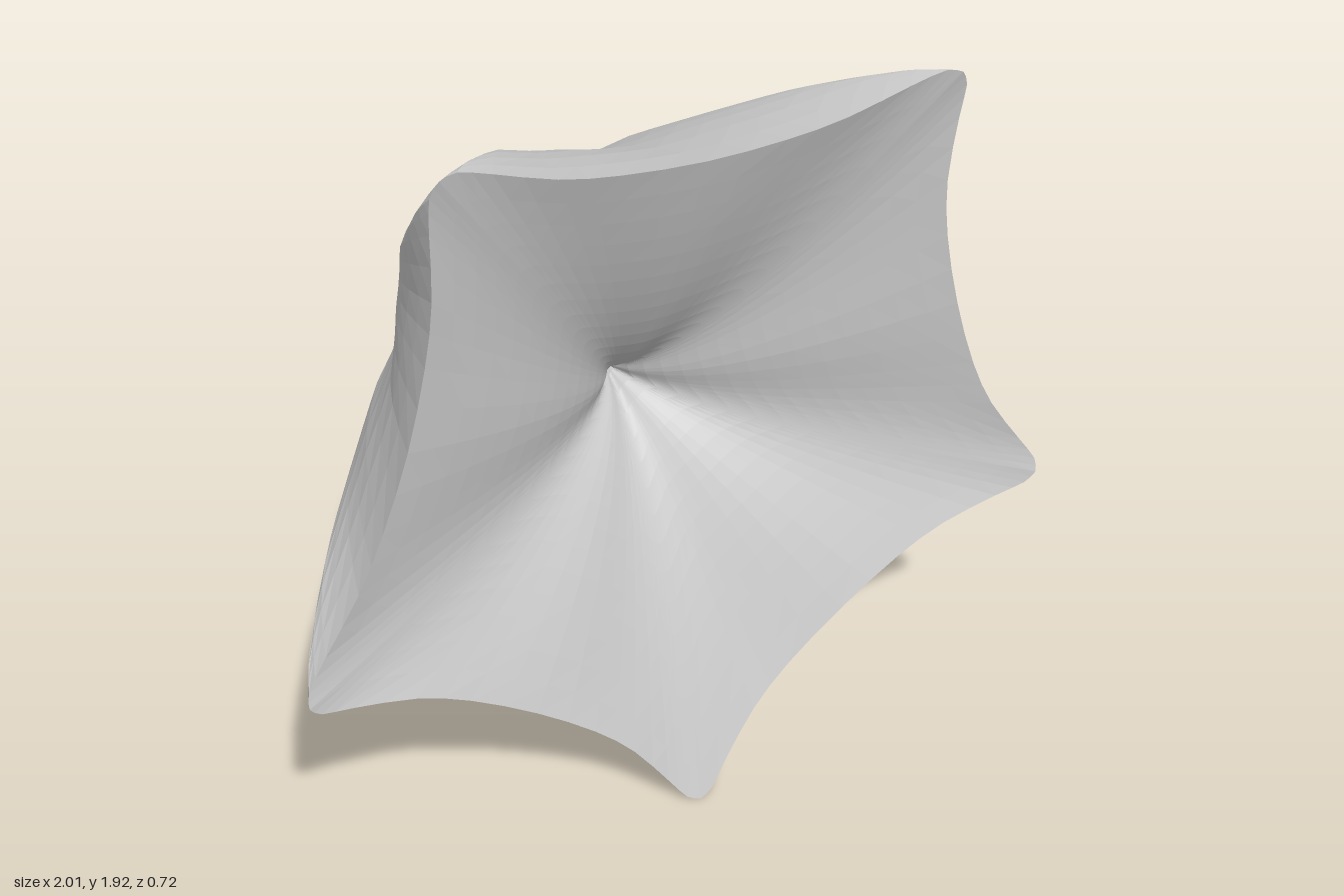
import * as THREE from 'three';

const CENTRE_Y = 1.055, PIT_Z = -0.22;
const ARMS = 5, ACROSS = 20, DISH_ROWS = 16, PETAL_ROWS = 6;

// Half profiles of one sector: [sideways, outward, depth], middle to arm tip
const foldHalf = [[0, 0.75, 0.315], [0.2, 0.76, 0.315], [0.35, 0.785, 0.322], [0.5, 0.835, 0.338], [0.58, 0.861, 0.353], [0.62, 0.853, 0.36]];
const edgeHalf = [[0, 0.485, -0.36], [0.133, 0.553, -0.295], [0.21, 0.61, -0.2], [0.335, 0.722, 0], [0.462, 0.807, 0.2], [0.62, 0.853, 0.36]];

// Mirrors a half profile into a full curve
function mirroredCurve(half, tension) {
  const pts = half.slice(1).reverse().map(([u, r, z]) => [-u, r, z]).concat(half);
  return new THREE.CatmullRomCurve3(pts.map((p) => new THREE.Vector3(...p)), false, 'catmullrom', tension);
}
const fold = mirroredCurve(foldHalf, 0.5);
const edge = mirroredCurve(edgeHalf, 0.2);

// Dish: steep pit at the centre, with a soft valley along each arm
function dishPoint(q, t) {
  const f = fold.getPoint(q);
  const radius = Math.hypot(f.x, f.y), angle = Math.atan2(f.x, f.y);
  const slope = 0.588 + 0.029 * Math.cos(ARMS * angle);
  const depth = (k) => PIT_Z + slope * Math.sqrt(radius * k);
  const lip = (f.z - depth(1)) * Math.pow(t, 6);
  return new THREE.Vector3(f.x * t, f.y * t, depth(t) + lip);
}

// Petal: turns back from the fold to a pointed free edge, slightly bowed outward
function petalPoint(q, s) {
  const f = fold.getPoint(q), e = edge.getPoint(q);
  const bow = 0.055 * f.distanceTo(e) * Math.sin(Math.PI * s);
  const p = f.lerp(e, s);
  p.y += bow;
  return p;
}

// Grid surface over (q, t); rows are spaced by the given power
function sheet(pointAt, rows, power) {
  const pos = [], index = [];
  const w = ACROSS + 1;
  for (let j = 0; j <= rows; j++) {
    for (let i = 0; i <= ACROSS; i++) {
      pos.push(...pointAt(i / ACROSS, Math.pow(j / rows, power)).toArray());
      if (j === rows || i === ACROSS) continue;
      const a = j * w + i, b = a + 1, c = a + w, d = c + 1;
      index.push(a, b, d, a, d, c);
    }
  }
  const g = new THREE.BufferGeometry();
  g.setAttribute('position', new THREE.Float32BufferAttribute(pos, 3));
  g.setIndex(index);
  g.computeVertexNormals();
  return g;
}

export function createModel() {
  const group = new THREE.Group();
  group.name = 'foldedStar';
  const material = new THREE.MeshStandardMaterial({ color: 0xcccccc, flatShading: true, side: THREE.DoubleSide });
  const dish = sheet(dishPoint, DISH_ROWS, 1.5);
  const petal = sheet(petalPoint, PETAL_ROWS, 1);

  // Five equal sectors around the centre, one petal pointing up
  for (let k = 0; k < ARMS; k++) {
    const sector = new THREE.Group();
    sector.name = `sector${k + 1}`;
    const dishMesh = new THREE.Mesh(dish, material);
    dishMesh.name = 'dishSector';
    const petalMesh = new THREE.Mesh(petal, material);
    petalMesh.name = 'backPetal';
    sector.add(dishMesh, petalMesh);
    sector.position.y = CENTRE_Y;
    sector.rotation.z = (k * 2 * Math.PI) / ARMS;
    group.add(sector);
  }
  return group;
}
